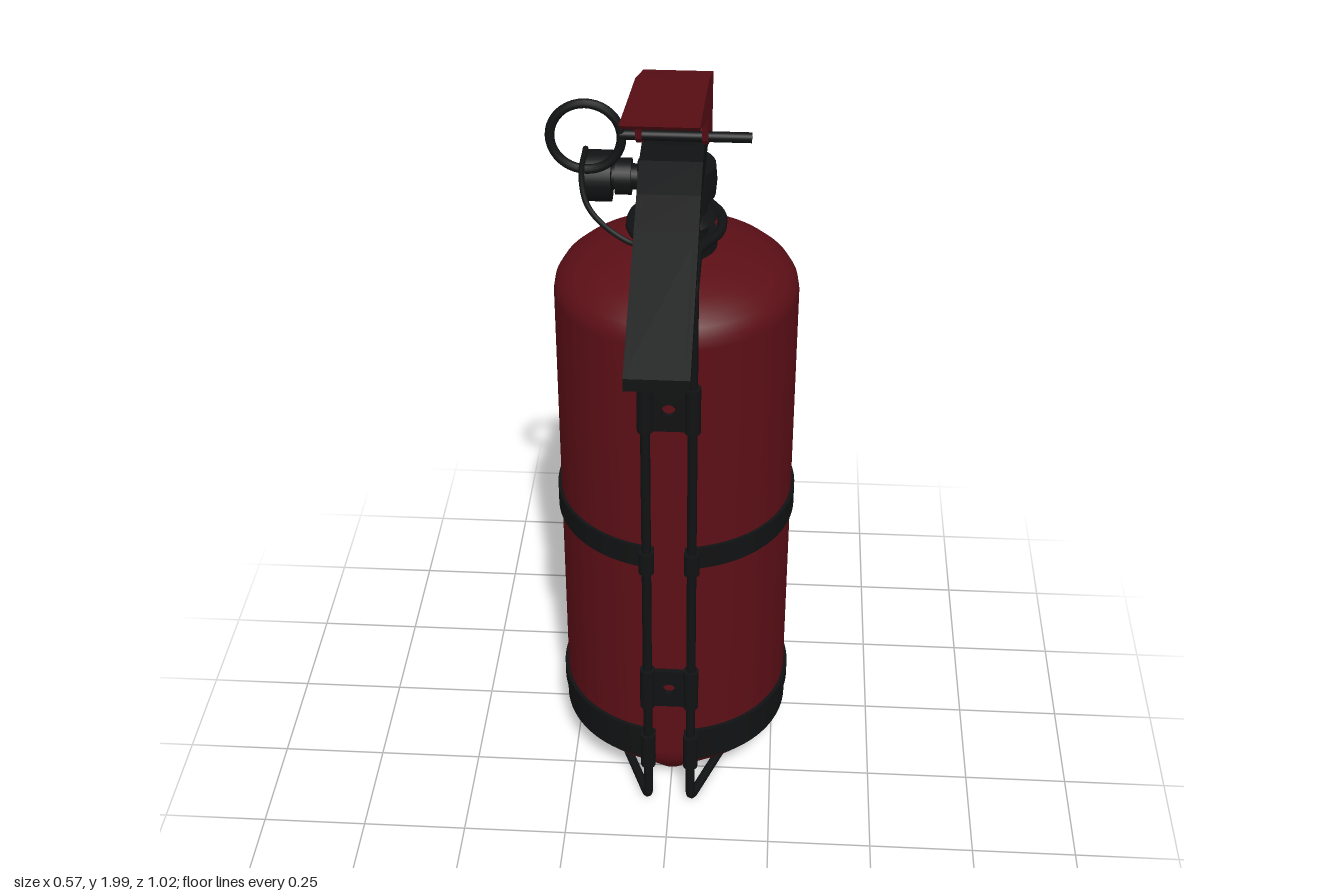
import * as THREE from 'three';
import { mergeVertices, toCreasedNormals } from 'three/addons/utils/BufferGeometryUtils.js';

const red = new THREE.MeshStandardMaterial({ color: 0x5c0f16, side: THREE.DoubleSide });
const black = new THREE.MeshStandardMaterial({ color: 0x111213, side: THREE.DoubleSide });
const AXIS_Z = -0.17; // axis of the cylinder
const V = (p) => new THREE.Vector3(...p);

export function createModel() {
  const root = new THREE.Group();

  function add(name, geo, mat = black, pos = [0, 0, 0], parent = root) {
    const m = new THREE.Mesh(geo, mat);
    m.name = name;
    m.position.set(...pos);
    parent.add(m);
    return m;
  }
  const box = (name, w, h, d, pos, mat, parent) => add(name, new THREE.BoxGeometry(w, h, d), mat, pos, parent);
  function cyl(name, r, h, axis, pos, mat, parent) {
    const g = new THREE.CylinderGeometry(r, r, h, 28);
    if (axis === 'x') g.rotateZ(Math.PI / 2);
    if (axis === 'z') g.rotateX(Math.PI / 2);
    return add(name, g, mat, pos, parent);
  }
  function lathe(name, pts, mat, segs = 64) {
    const g = new THREE.LatheGeometry(pts.map((p) => new THREE.Vector2(...p)), segs);
    return add(name, toCreasedNormals(g, 0.6), mat, [0, 0, AXIS_Z]);
  }
  // round wire through points, with rounded corners and ball ends
  function wire(name, points, r = 0.011, bend = 0.025, parent = root, closed = false) {
    const p = points.map(V), path = new THREE.CurvePath();
    if (closed) { const mid = p[0].clone().lerp(p[1], 0.5); p.push(p.shift(), mid); p.unshift(mid.clone()); }
    let from = p[0];
    for (let i = 1; i < p.length - 1; i++) {
      const toward = (q) => p[i].clone().add(q.clone().sub(p[i]).setLength(Math.min(bend, q.distanceTo(p[i]) * 0.45)));
      const a = toward(p[i - 1]), b = toward(p[i + 1]);
      path.add(new THREE.LineCurve3(from, a));
      path.add(new THREE.QuadraticBezierCurve3(a, p[i], b));
      from = b;
    }
    path.add(new THREE.LineCurve3(from, p[p.length - 1]));
    const n = Math.max(40, Math.min(260, Math.ceil(path.getLength() / 0.01)));
    add(name, new THREE.TubeGeometry(path, n, r, 8), black, [0, 0, 0], parent);
    if (!closed) for (const e of [p[0], p[p.length - 1]])
      add(name + 'End', new THREE.SphereGeometry(r, 8, 6), black, e.toArray(), parent);
  }
  // side outline given as [z, y], extruded across x
  function sideSlab(name, outline, width, x, mat) {
    const g = new THREE.ExtrudeGeometry(new THREE.Shape(outline.map((p) => new THREE.Vector2(...p))), { depth: width, bevelEnabled: false });
    g.translate(0, 0, -width / 2).rotateY(-Math.PI / 2);
    return add(name, g, mat, [x, 0, 0]);
  }
  // arc band around the cylinder; angle 0 is +x, a quarter turn is the back
  function band(name, r, y0, y1, a0, a1, thick = 0.01) {
    const s = new THREE.Shape();
    s.absarc(0, 0, r, a0, a1, false);
    s.absarc(0, 0, r - thick, a1, a0, true);
    const g = new THREE.ExtrudeGeometry(s, { depth: y1 - y0, bevelEnabled: false, curveSegments: 64 });
    g.rotateX(-Math.PI / 2);
    return add(name, toCreasedNormals(g, 0.6), black, [0, y0, AXIS_Z]);
  }

  // cylinder with three rounded feet pushed out of the base
  const profile = [];
  for (let i = 0; i <= 18; i++) {
    const r = (0.24 * i) / 18;
    profile.push([r, 0.068 + 0.025 * Math.pow(r / 0.24, 6)]);
  }
  profile.push([0.257, 0.109], [0.268, 0.13], [0.275, 0.16], [0.275, 0.75], [0.275, 1.335], [0.271, 1.358], [0.258, 1.38],
    [0.235, 1.4], [0.2, 1.418], [0.15, 1.434], [0.1, 1.443], [0, 1.445]);
  let shell = new THREE.LatheGeometry(profile.map((p) => new THREE.Vector2(...p)), 96);
  const pos = shell.attributes.position;
  for (let i = 0; i < pos.count; i++) {
    if (pos.getY(i) > 0.14) continue;
    for (let k = 0; k < 3; k++) {
      const a = (k * Math.PI * 2) / 3;
      const d = Math.hypot(pos.getX(i) - 0.165 * Math.sin(a), pos.getZ(i) - 0.165 * Math.cos(a));
      pos.setY(i, pos.getY(i) - 0.06 * Math.exp(-((d / 0.06) ** 2)));
    }
  }
  shell.deleteAttribute('uv');
  shell.deleteAttribute('normal');
  shell = mergeVertices(shell, 1e-5);
  shell.computeVertexNormals();
  add('cylinder', shell, red, [0, 0, AXIS_Z]);

  // straps, open at the front between the bracket wires
  const front = -Math.PI / 2 + 0.13, around = 1.5 * Math.PI - 0.13;
  band('lowerStrap', 0.279, 0.135, 0.197, front, around);
  band('lowerStrapRim', 0.284, 0.197, 0.235, front, around, 0.015);
  band('middleStrapLeft', 0.283, 0.745, 0.803, front, 0.54);
  band('middleStrapRight', 0.283, 0.745, 0.803, Math.PI - 0.54, around);
  wire('lowerStrapPin', [[0, 0.16, -0.44], [0, 0.165, -0.465]], 0.012);

  // bracket wires: fork round the neck, upright, splayed foot
  for (const s of [1, -1]) {
    const side = s > 0 ? 'Left' : 'Right';
    wire('bracketWire' + side, [[s * 0.062, 1.497, -0.355], [s * 0.052, 1.497, -0.29], [s * 0.1, 1.497, -0.21], [s * 0.1, 1.497, -0.13],
      [s * 0.052, 1.497, -0.05], [s * 0.052, 1.497, 0.124], [s * 0.052, 0.022, 0.124], [s * 0.245, 0.022, -0.36],
      [s * 0.245, 0.135, -0.355], [s * 0.235, 0.16, -0.305]]);
    // strap ends: loop round the wire and ear at the back
    for (const [y, h] of [[0.774, 0.058], [0.185, 0.1]]) cyl('strapLoop' + side, 0.018, h, 'y', [s * 0.052, y, 0.124]);
    const ear = box('strapEar' + side, 0.014, 0.058, 0.075, [s * 0.248, 0.774, -0.335]);
    ear.rotation.y = s * -0.35;
    cyl('strapHinge' + side, 0.013, 0.08, 'y', [s * 0.25, 0.774, -0.358]);
    for (const y of [1.198, 0.39]) cyl('clipSleeve' + side, 0.018, 0.115, 'y', [s * 0.052, y, 0.124]);
  }
  wire('neckRod', [[0, 1.41, 0.124], [0, 1.41, 0]], 0.01);

  // clip plates with a screw hole
  for (const y of [1.198, 0.39]) {
    const s = new THREE.Shape([[-0.05, -0.055], [0.05, -0.055], [0.05, 0.055], [-0.05, 0.055]].map((p) => new THREE.Vector2(...p)));
    s.holes.push(new THREE.Path().absarc(0, 0, 0.015, 0, Math.PI * 2, true));
    add('clipPlate', new THREE.ExtrudeGeometry(s, { depth: 0.012, bevelEnabled: false }), black, [0, y, 0.118]);
  }

  // toggle clasp: wire frame on one side, slotted lever on the other
  const frame = new THREE.Group(), lever = new THREE.Group();
  frame.name = 'claspFrame';
  lever.name = 'claspLever';
  frame.position.set(0, 0.774, -0.498);
  lever.position.copy(frame.position);
  frame.rotation.y = Math.PI + 0.51;
  lever.rotation.y = -0.51;
  root.add(frame, lever);
  wire('frameLoop', [[0, -0.03, 0], [0.285, -0.045, 0], [0.285, 0.045, 0], [0, 0.03, 0]], 0.009, 0.02, frame, true);
  const slot = (r, x0, x1, Kind) => new Kind().absarc(x1, 0, r, -Math.PI / 2, Math.PI / 2, false).absarc(x0, 0, r, Math.PI / 2, 1.5 * Math.PI, false).closePath();
  const plate = slot(0.052, 0.03, 0.14, THREE.Shape);
  plate.holes.push(slot(0.022, 0.04, 0.13, THREE.Path));
  add('leverPlate', new THREE.ExtrudeGeometry(plate, { depth: 0.012, bevelEnabled: false }), black, [0, 0, -0.006], lever);
  box('leverStrap', 0.17, 0.05, 0.012, [0.2, 0, 0.008], black, lever);
  cyl('leverPin', 0.012, 0.1, 'y', [0.12, 0, 0.016], black, lever);
  cyl('claspPivot', 0.013, 0.1, 'y', [0, 0.774, -0.492]);

  // neck and valve
  lathe('neckCollar', [[0, 1.435], [0.09, 1.435], [0.09, 1.478], [0.07, 1.478], [0.07, 1.505], [0.085, 1.51], [0.09, 1.515],
    [0.085, 1.522], [0.068, 1.53], [0.065, 1.565], [0.085, 1.57], [0.088, 1.605], [0.085, 1.64], [0.062, 1.642], [0.062, 1.69], [0, 1.69]], black, 32);
  box('valveHead', 0.085, 0.11, 0.19, [0, 1.72, -0.125]);
  box('valvePlate', 0.125, 0.04, 0.2, [0, 1.662, -0.14]);
  cyl('valveStem', 0.03, 0.1, 'y', [0, 1.79, AXIS_Z + 0.06]);
  cyl('hoseOutlet', 0.036, 0.17, 'z', [0, 1.605, -0.3]);
  cyl('hoseOutletCollar', 0.043, 0.05, 'z', [0, 1.605, -0.25]);
  cyl('gaugeStem', 0.028, 0.12, 'x', [-0.1, 1.605, AXIS_Z]);
  cyl('gaugeNut', 0.04, 0.035, 'x', [-0.115, 1.605, AXIS_Z]);
  cyl('gauge', 0.056, 0.06, 'x', [-0.17, 1.605, AXIS_Z]);

  // squeeze lever: red channel open below
  const t = 0.012;
  const leverTop = [[0.4, 2.0], [0, 1.912], [-0.22, 1.832], [-0.23, 1.8], [-0.208, 1.685]];
  for (const s of [1, -1])
    sideSlab('upperLeverSide', [...leverTop, [-0.12, 1.72], [-0.01, 1.765], [0.025, 1.79], [0.04, 1.845], [0.37, 1.983]], t, s * (0.074 - t / 2), red);
  sideSlab('upperLeverTop', [...leverTop, [-0.196, 1.69], [-0.216, 1.8], [-0.21, 1.822], [0, 1.898], [0.375, 1.982]], 0.147, 0, red);

  // carrying handle: black channel open below
  const handleTop = [[0.508, 1.525], [0.2, 1.675], [0.12, 1.715], [0.04, 1.75], [-0.04, 1.752], [-0.12, 1.73], [-0.23, 1.69]];
  for (const s of [1, -1])
    sideSlab('handleSide', [...handleTop, [-0.23, 1.665], [-0.05, 1.672], [0.03, 1.69], [0.1, 1.685], [0.17, 1.652], [0.3, 1.585], [0.508, 1.497]],
      t, s * (0.065 - t / 2), black);
  sideSlab('handleTop', [...handleTop, [-0.23, 1.675], [-0.12, 1.715], [-0.04, 1.737], [0.036, 1.735], [0.114, 1.7], [0.194, 1.66], [0.495, 1.513], [0.495, 1.497], [0.508, 1.497]],
    0.13, 0, black);

  // safety pin, pull ring and tether
  cyl('safetyPin', 0.011, 0.27, 'x', [0.028, 1.785, -0.005]);
  add('pullRing', new THREE.TorusGeometry(0.074, 0.01, 10, 40), black, [-0.178, 1.778, -0.005]);
  const tether = new THREE.CatmullRomCurve3([[-0.182, 1.735, -0.04], [-0.184, 1.715, 0.04], [-0.165, 1.68, 0.11], [-0.12, 1.65, 0.15], [-0.06, 1.628, 0.17], [-0.04, 1.655, 0.18]].map(V));
  add('tether', new THREE.TubeGeometry(tether, 40, 0.006, 8), black);

  return root;
}
